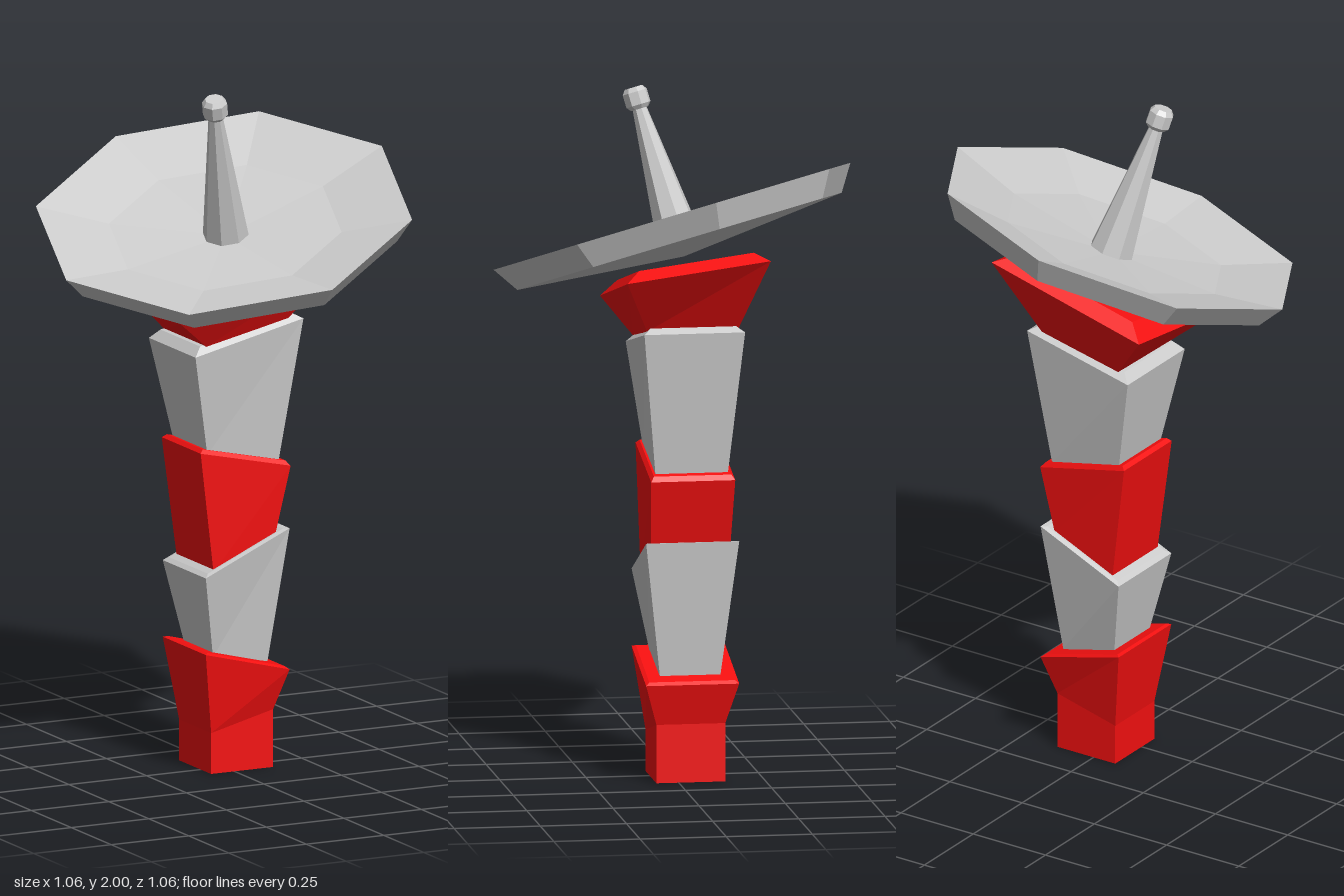
import * as THREE from 'three';

const grey = new THREE.MeshStandardMaterial({ color: 0xcccccc, flatShading: true });
const red = new THREE.MeshStandardMaterial({ color: 0xf41010, flatShading: true });

function addMesh(parent, name, geometry, material) {
  const mesh = new THREE.Mesh(geometry, material);
  mesh.name = name;
  parent.add(mesh);
  return mesh;
}

// Four-cornered ring around the tower axis; its height slopes left to right and front to back
const CX = 0.025, CZ = -0.035;
function ring(hx, hz, yMinus, yPlus, rise = 0) {
  return [[-1, 1], [1, 1], [1, -1], [-1, -1]].map(([sx, sz]) => [
    CX + sx * hx,
    (sx < 0 ? yMinus : yPlus) + (sz < 0 ? rise : 0),
    CZ + sz * hz,
  ]);
}

// Smaller copy of a ring, lifted a little, for the bevelled cap
function inset(corners, scale, lift) {
  const midY = corners.reduce((sum, p) => sum + p[1], 0) / 4;
  return corners.map(([x, y, z]) => [
    CX + (x - CX) * scale, midY + (y - midY) * scale + lift, CZ + (z - CZ) * scale,
  ]);
}

// Skin through stacked rings, closed on top
function loft(rings) {
  const index = [];
  const n = rings.length;
  for (let r = 0; r < n - 1; r++) {
    for (let i = 0; i < 4; i++) {
      const a = r * 4 + i, b = r * 4 + (i + 1) % 4;
      index.push(a, b, b + 4, a, b + 4, a + 4);
    }
  }
  const t = (n - 1) * 4;
  index.push(t, t + 1, t + 2, t, t + 2, t + 3);
  const geometry = new THREE.BufferGeometry();
  geometry.setAttribute('position', new THREE.Float32BufferAttribute(rings.flat(2), 3));
  geometry.setIndex(index);
  const flat = geometry.toNonIndexed();
  flat.computeVertexNormals();
  return flat;
}

// Eight-sided turned part from [radius, height] points
function turned(points, phase) {
  return new THREE.LatheGeometry(points.map(([r, y]) => new THREE.Vector2(r, y)), 8, phase);
}

export function createModel() {
  const model = new THREE.Group();
  model.name = 'dishTower';

  // Tower: flared, crooked blocks in alternating colours
  const blocks = [
    { name: 'baseBlock', material: red, cap: [0.92, 0.006],
      rings: [ring(0.1, 0.1, 0, 0), ring(0.1, 0.1, 0.12, 0.17), ring(0.135, 0.135, 0.36, 0.29)] },
    { name: 'lowerBlock', material: grey, cap: [0.9, 0.004],
      rings: [ring(0.088, 0.088, 0.34, 0.31), ring(0.135, 0.135, 0.585, 0.705)] },
    { name: 'middleBlock', material: red, cap: [0.92, 0.012],
      rings: [ring(0.1, 0.115, 0.595, 0.69), ring(0.145, 0.122, 0.95, 0.885)] },
    { name: 'upperBlock', material: grey, cap: [0.85, 0.02],
      rings: [ring(0.115, 0.105, 0.94, 0.9), ring(0.174, 0.146, 1.24, 1.32)] },
    { name: 'dishMount', material: red, cap: [0.8, 0.035],
      rings: [ring(0.132, 0.132, 1.265, 1.322), ring(0.255, 0.208, 1.36, 1.485, 0.055)] },
  ];
  for (const { name, material, cap, rings } of blocks) {
    const top = rings[rings.length - 1];
    addMesh(model, name, loft([...rings, inset(top, ...cap)]), material);
  }

  // Underside of the tower
  const underside = addMesh(model, 'underside', new THREE.PlaneGeometry(0.2, 0.2).rotateX(Math.PI / 2), grey);
  underside.position.set(CX, 0, CZ);

  // Tilted dish assembly, with its origin at the centre of the rim
  const head = new THREE.Group();
  head.name = 'dishAssembly';
  head.position.y = 1.6275;
  head.quaternion.setFromUnitVectors(
    new THREE.Vector3(0, 1, 0), new THREE.Vector3(-0.228, 1, 0.273).normalize());
  model.add(head);

  const phase = THREE.MathUtils.degToRad(6.5);
  addMesh(head, 'dish', turned(
    [[0, -0.12], [0.5, -0.075], [0.55, 0], [0.34, -0.05], [0, -0.075]], phase), grey);
  addMesh(head, 'antennaMast', turned([[0.068, -0.08], [0.02, 0.335]], phase), grey);
  addMesh(head, 'antennaTip', turned(
    [[0, 0.322], [0.026, 0.322], [0.037, 0.334], [0.037, 0.372], [0.027, 0.386], [0, 0.386]], phase), grey);

  return model;
}
